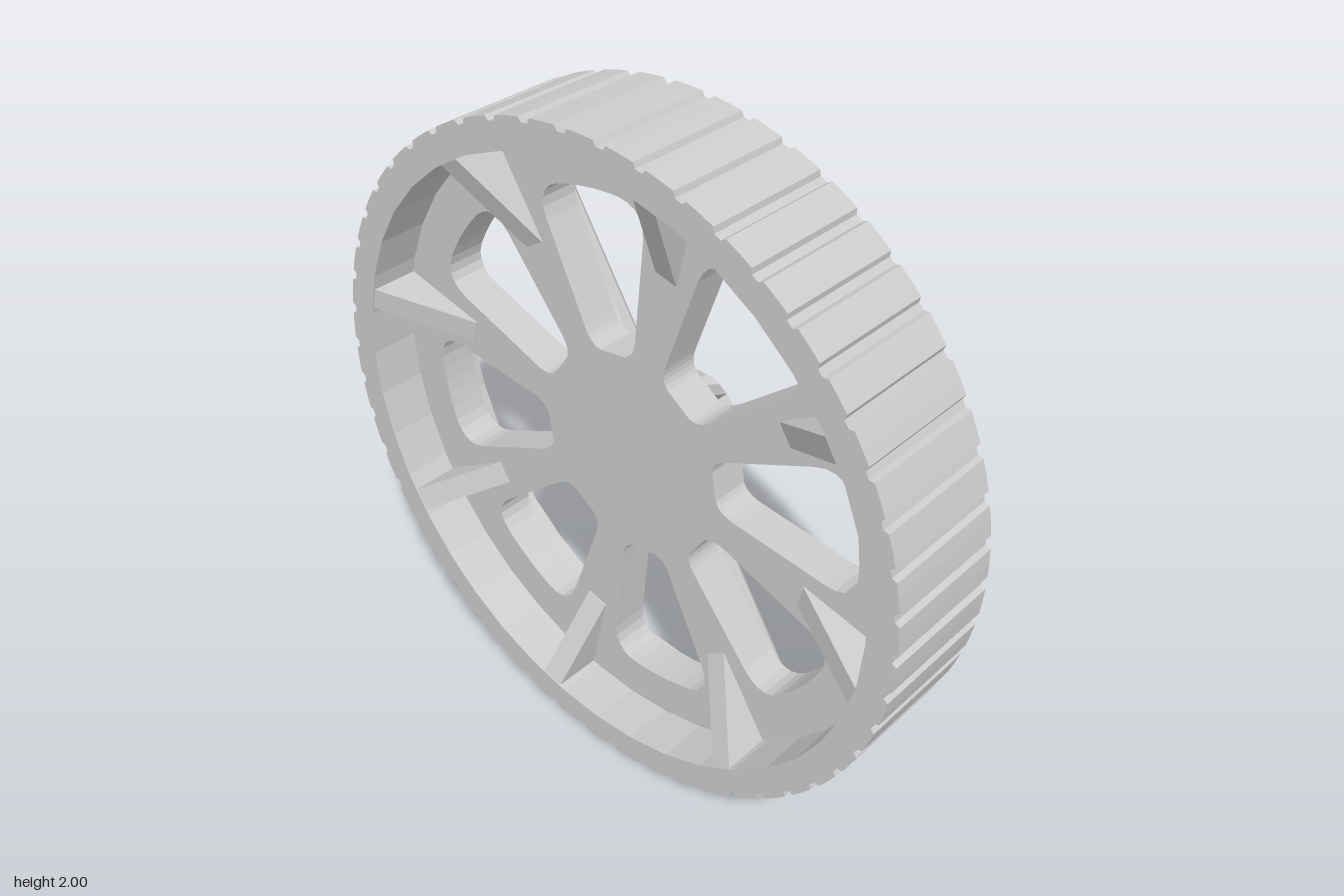
import * as THREE from 'three';

const material = new THREE.MeshStandardMaterial({ color: 0xcccccc, flatShading: true });
const RIM_INNER = 0.91;
const RIM_BACK = -0.14, RIM_FRONT = 0.235;
const WEB_BACK = -0.03, WEB_FRONT = 0.085;
const STEP = Math.PI / 4;
const HOLE_ANGLE = THREE.MathUtils.degToRad(10);
const LAND_ANGLE = HOLE_ANGLE + STEP / 2;

function addMesh(parent, name, geometry, angle = 0) {
  const mesh = new THREE.Mesh(geometry, material);
  mesh.name = name;
  mesh.rotation.z = angle;
  parent.add(mesh);
  return mesh;
}

function extrude(shape, depth, curveSegments = 5) {
  return new THREE.ExtrudeGeometry(shape, { depth, bevelEnabled: false, curveSegments });
}

function circlePoints(radius, count) {
  return Array.from({ length: count }, (_, i) => {
    const a = (i / count) * Math.PI * 2;
    return new THREE.Vector2(radius * Math.cos(a), radius * Math.sin(a));
  });
}

// Outer ring with fifty shallow grooves across the tread
function rimGeometry() {
  const points = [];
  const grooves = 50;
  const profile = [[-0.02, 1], [-0.011, 0.986], [0.011, 0.986], [0.02, 1], [0.063, 1]];
  for (let i = 0; i < grooves; i++) {
    for (const [offset, r] of profile) {
      const a = (i / grooves) * Math.PI * 2 + offset;
      points.push(new THREE.Vector2(r * Math.cos(a), r * Math.sin(a)));
    }
  }
  const shape = new THREE.Shape(points);
  shape.holes.push(new THREE.Path(circlePoints(RIM_INNER, 40)));
  return extrude(shape, RIM_FRONT - RIM_BACK).translate(0, 0, RIM_BACK);
}

// Rounded wedge-shaped window lying along +x, turned to the given angle
function windowPath(angle) {
  const path = new THREE.Path();
  path.moveTo(0.37, 0.093);
  path.lineTo(0.66, 0.174);
  path.quadraticCurveTo(0.75, 0.196, 0.768, 0.11);
  path.quadraticCurveTo(0.785, 0, 0.768, -0.11);
  path.quadraticCurveTo(0.75, -0.196, 0.66, -0.174);
  path.lineTo(0.37, -0.093);
  path.quadraticCurveTo(0.32, -0.08, 0.312, -0.045);
  path.lineTo(0.312, 0.045);
  path.quadraticCurveTo(0.32, 0.08, 0.37, 0.093);
  const center = new THREE.Vector2();
  const points = path.getPoints(5).map(p => p.rotateAround(center, angle));
  points.pop();
  return new THREE.Path(points);
}

function webGeometry() {
  const shape = new THREE.Shape(circlePoints(RIM_INNER + 0.01, 40));
  for (let i = 0; i < 8; i++) shape.holes.push(windowPath(HOLE_ANGLE + i * STEP));
  return extrude(shape, WEB_FRONT - WEB_BACK).translate(0, 0, WEB_BACK);
}

// Upright gusset: profile of [radius, z], given a thickness across
function gussetGeometry(profile, width) {
  const shape = new THREE.Shape(profile.map(([r, z]) => new THREE.Vector2(r, z)));
  return extrude(shape, width).translate(0, 0, -width / 2).rotateX(Math.PI / 2);
}

export function createModel() {
  const wheel = new THREE.Group();
  wheel.name = 'wheel';
  wheel.position.y = 1;

  addMesh(wheel, 'treadedRim', rimGeometry());
  addMesh(wheel, 'web', webGeometry());

  // Front wedges bracing the rim, back fins bracing the hub
  const wedge = gussetGeometry([[0.625, 0.07], [0.915, 0.07], [0.912, RIM_FRONT - 0.002], [0.625, 0.088]], 0.07);
  const fin = gussetGeometry([[0.08, -0.02], [0.08, -0.232], [0.11, -0.232], [0.285, WEB_BACK], [0.285, -0.02]], 0.035);
  for (let i = 0; i < 8; i++) {
    addMesh(wheel, 'rimWedge', wedge, LAND_ANGLE + i * STEP);
    addMesh(wheel, 'hubFin', fin, HOLE_ANGLE + i * STEP);
  }

  // Four rods along the back of the web
  const rod = new THREE.CylinderGeometry(0.043, 0.043, 0.74, 8)
    .rotateY(Math.PI / 8)
    .rotateZ(-Math.PI / 2)
    .translate(0.55, 0, -0.065);
  for (let i = 0; i < 4; i++) addMesh(wheel, 'backRod', rod, LAND_ANGLE + i * 2 * STEP);

  // Stepped hub with a blind axle bore
  const hubProfile = [
    [0.2, 0.02], [0.2, 0.085], [0.11, 0.085], [0.11, 0.235],
    [0.05, 0.235], [0.05, 0.035], [0, 0.035],
  ].map(([r, h]) => new THREE.Vector2(r, h));
  addMesh(wheel, 'hub', new THREE.LatheGeometry(hubProfile, 24).rotateX(-Math.PI / 2));

  const model = new THREE.Group();
  model.name = 'spokedWheel';
  model.add(wheel);
  return model;
}
